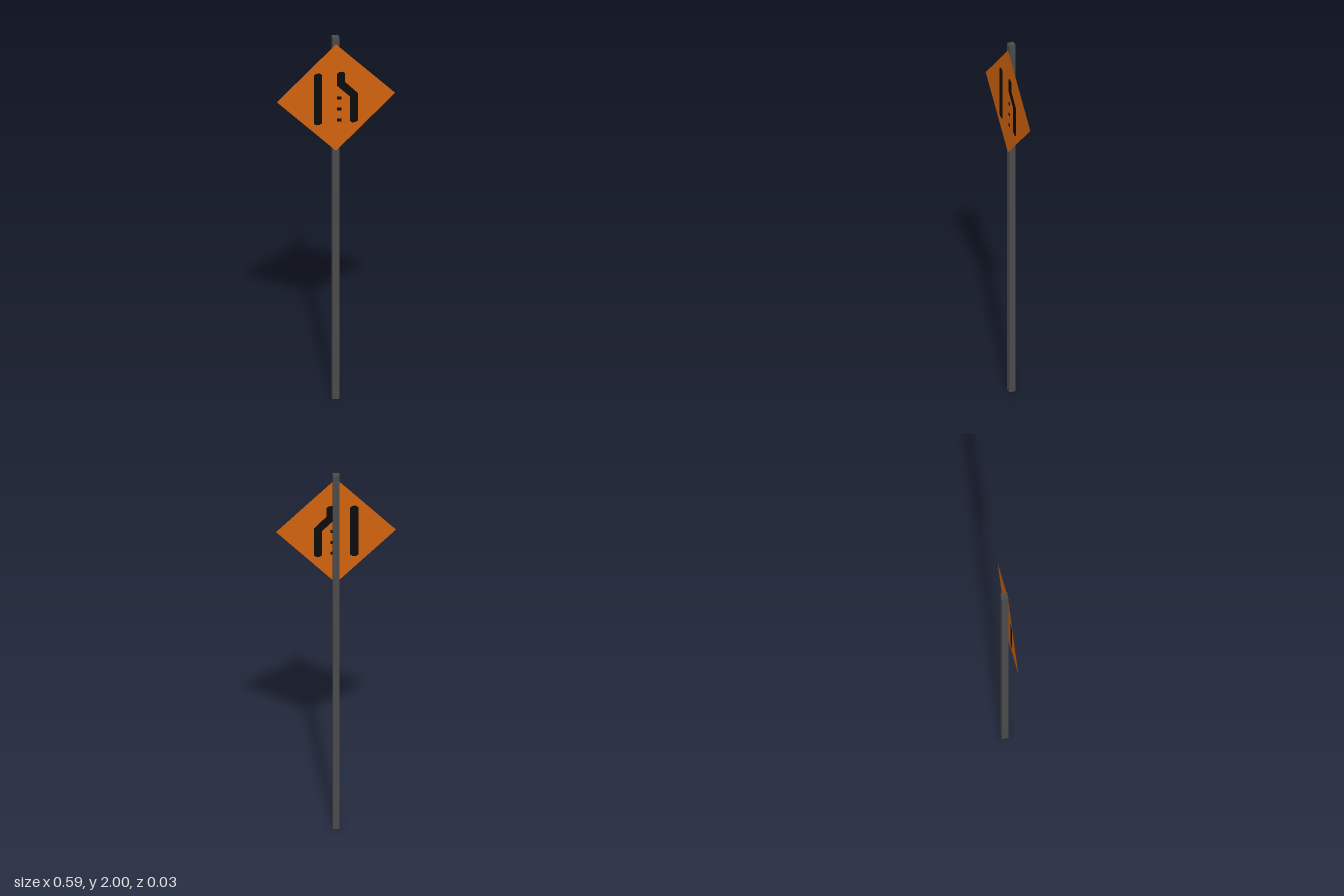
import * as THREE from 'three';

const orange = new THREE.MeshStandardMaterial({ color: 0xd0620d, side: THREE.DoubleSide });
orange.name = 'signOrange';
const black = new THREE.MeshStandardMaterial({ color: 0x0b0b0b, side: THREE.DoubleSide });
black.name = 'symbolBlack';
const grey = new THREE.MeshStandardMaterial({ color: 0x4a4a4b });
grey.name = 'postGrey';

const polygon = (points) => points.map(([x, y]) => new THREE.Vector2(x, y));

function addMesh(group, name, geometry, material, y, z) {
  const mesh = new THREE.Mesh(geometry, material);
  mesh.name = name;
  mesh.position.set(0, y, z);
  group.add(mesh);
}

export function createModel() {
  const group = new THREE.Group();
  group.name = 'roadSign';

  // Square post
  addMesh(group, 'post', new THREE.BoxGeometry(0.033, 2, 0.033), grey, 1, 0);

  // Symbol outlines, relative to the centre of the sign
  const leftBar = polygon([
    [-0.099, -0.145], [-0.081, -0.145], [-0.07, -0.136], [-0.07, 0.131],
    [-0.081, 0.14], [-0.099, 0.14], [-0.11, 0.131], [-0.11, -0.136],
  ]);
  const bentBar = polygon([
    [0.08, -0.145], [0.098, -0.145], [0.109, -0.136], [0.109, 0.015],
    [0.046, 0.082], [0.046, 0.131], [0.035, 0.14], [0.017, 0.14],
    [0.006, 0.131], [0.006, 0.064], [0.069, 0], [0.069, -0.136],
  ]);
  const dashes = [-0.004, -0.065, -0.126].map((y) => polygon([
    [0.006, y - 0.008], [0.027, y - 0.008], [0.027, y + 0.008], [0.006, y + 0.008],
  ]));
  const symbols = [leftBar, bentBar, ...dashes];

  // Thin diamond panel with the symbols cut out, so they show on both sides
  const r = 0.295;
  const diamond = new THREE.Shape(polygon([[0, -r], [r, 0], [0, r], [-r, 0]]));
  diamond.holes = symbols.map((points) => new THREE.Path(points));
  const signY = 1.671, signZ = 0.0175;
  addMesh(group, 'signPanel', new THREE.ShapeGeometry(diamond), orange, signY, signZ);

  // Black faces filling the cut-outs
  const fills = symbols.map((points) => new THREE.Shape(points));
  addMesh(group, 'laneSymbol', new THREE.ShapeGeometry(fills), black, signY, signZ);

  return group;
}
